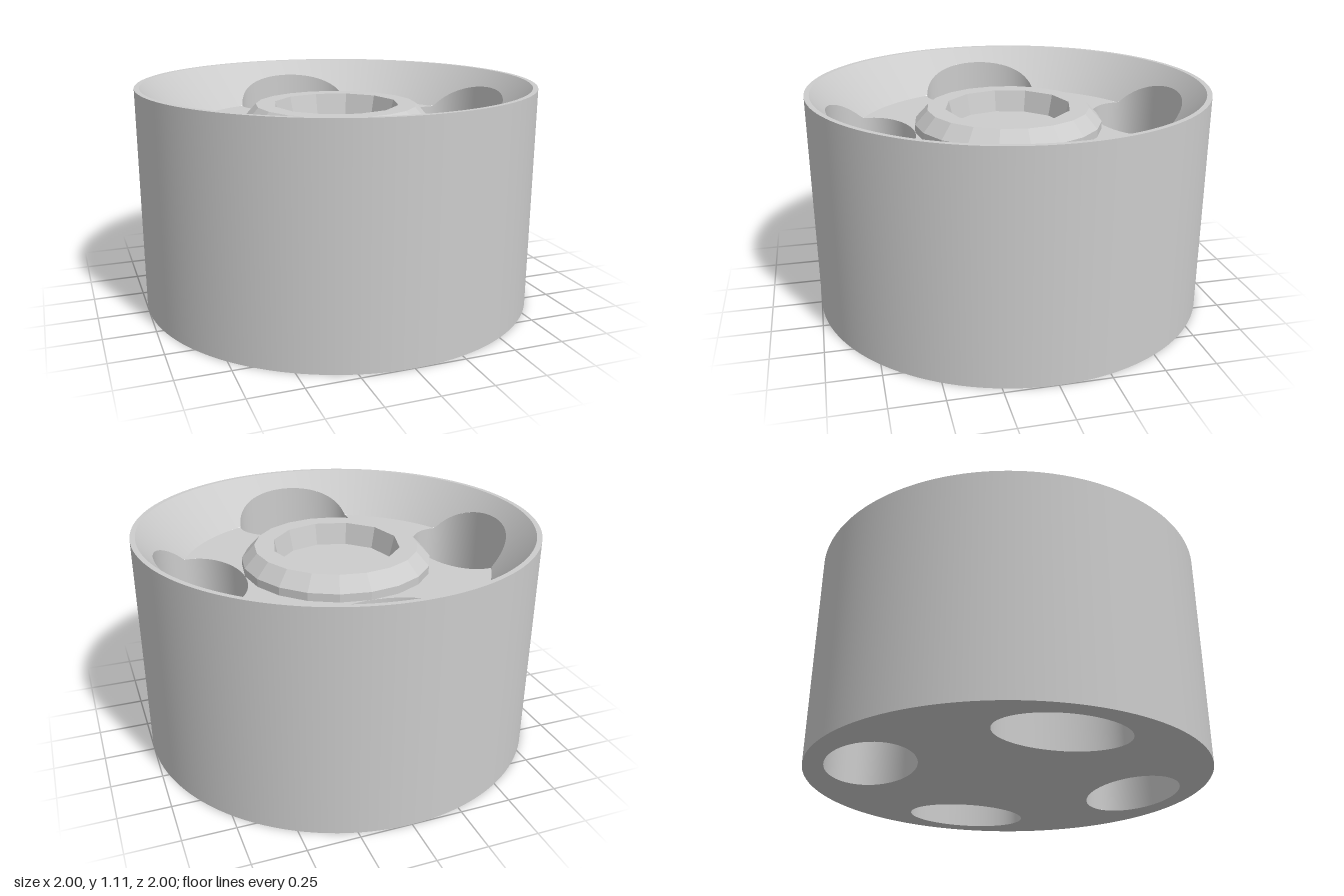
import * as THREE from 'three';

const HEIGHT = 1.11, FLOOR = 0.89;          // overall height, dish floor level
const R = 1, LIP = 0.975, DISH = 0.78;      // outer, lip and dish floor radii
const C = 0.69, A = 0.215, B = 0.32;        // oval holes: centre distance, half axes

const polar = (r, a, y) => [r * Math.cos(a), y, -r * Math.sin(a)];
const coneY = r => r <= DISH ? FLOOR : FLOOR + (r - DISH) / (LIP - DISH) * (HEIGHT - FLOOR);

// Closed inward-facing band; at(u) gives its lower and upper point
function band(n, at) {
  const pos = [], idx = [];
  for (let i = 0; i < n; i++) {
    const [lo, hi] = at(i / n * Math.PI * 2);
    pos.push(...lo, ...hi);
    const a = 2 * i, b = 2 * ((i + 1) % n);
    idx.push(a, b + 1, b, a, a + 1, b + 1);
  }
  const g = new THREE.BufferGeometry();
  g.setAttribute('position', new THREE.Float32BufferAttribute(pos, 3));
  g.setIndex(idx);
  g.computeVertexNormals();
  return g;
}

// Far crossing of a ray from the axis with the nearest oval hole, or the dish radius
function coneStart(angle) {
  const q = Math.PI / 2, t = angle - Math.round(angle / q) * q;
  const c = Math.cos(t), s = Math.sin(t);
  const a = c * c / (A * A) + s * s / (B * B), b = C * c / (A * A), d = C * C / (A * A) - 1;
  const disc = b * b - a * d;
  return disc < 0 ? DISH : Math.max(DISH, (b + Math.sqrt(disc)) / a);
}

// Dish floor outline: a disc with four bites taken by the holes
function floorShape() {
  const qa = A * A - B * B, qb = 2 * C * A, qc = C * C + B * B - DISH * DISH;
  const t0 = Math.acos((-qb + Math.sqrt(qb * qb - 4 * qa * qc)) / (2 * qa));
  const edge = Math.atan2(B * Math.sin(t0), C + A * Math.cos(t0));
  const pts = [], n = 48;
  for (let k = 0; k < 4; k++) {
    const turn = k * Math.PI / 2, origin = new THREE.Vector2();
    for (let i = 0; i <= n; i++) {
      const t = 2 * Math.PI - t0 - (2 * Math.PI - 2 * t0) * i / n;
      pts.push(new THREE.Vector2(C + A * Math.cos(t), B * Math.sin(t)).rotateAround(origin, turn));
    }
    for (let i = 1; i < 24; i++) {
      const a = turn + edge + (Math.PI / 2 - 2 * edge) * i / 24;
      pts.push(new THREE.Vector2(DISH * Math.cos(a), DISH * Math.sin(a)));
    }
  }
  return new THREE.Shape(pts);
}

function polygon(r, n, Type = THREE.Shape) {
  return new Type(Array.from({ length: n }, (_, i) => {
    const a = i / n * Math.PI * 2;
    return new THREE.Vector2(r * Math.cos(a), r * Math.sin(a));
  }));
}

// Faceted turned part
function facetedLathe(profile, sides) {
  const g = new THREE.LatheGeometry(profile.map(p => new THREE.Vector2(...p)), sides).toNonIndexed();
  g.computeVertexNormals();
  return g;
}

export function createModel() {
  const group = new THREE.Group();
  const grey = new THREE.MeshStandardMaterial({ color: 0xcccccc });
  grey.name = 'light grey';
  const add = (name, geometry, parent = group) => {
    const mesh = new THREE.Mesh(geometry, grey);
    mesh.name = name;
    parent.add(mesh);
    return mesh;
  };

  // Outer drum and its thin top lip
  add('outerWall', new THREE.CylinderGeometry(R, R, HEIGHT, 128, 1, true).translate(0, HEIGHT / 2, 0));
  add('topLip', new THREE.RingGeometry(LIP, R, 128).rotateX(-Math.PI / 2).translate(0, HEIGHT, 0));

  // Sloping dish, notched by the holes
  add('dishSlope', band(256, a => {
    const r = coneStart(a);
    return [polar(r, a, coneY(r)), polar(LIP, a, HEIGHT)];
  }));
  add('dishFloor', new THREE.ShapeGeometry(floorShape()).rotateX(-Math.PI / 2).translate(0, FLOOR, 0));

  // Underside with four oval openings
  const base = polygon(R, 128);
  for (let k = 0; k < 4; k++) {
    const a = k * Math.PI / 2, hole = new THREE.Path();
    hole.absellipse(C * Math.cos(a), C * Math.sin(a), A, B, 0, Math.PI * 2, true, a);
    base.holes.push(hole);
  }
  add('underside', new THREE.ShapeGeometry(base, 32).rotateX(Math.PI / 2));

  // Walls of the four through holes
  const wall = band(96, t => {
    const x = C + A * Math.cos(t), z = -B * Math.sin(t);
    return [[x, 0, z], [x, coneY(Math.hypot(x, z)), z]];
  });
  for (let k = 0; k < 4; k++) add('holeWall', wall).rotation.y = k * Math.PI / 2;

  // Faceted hub with a chamfered rim and a twelve-sided recess
  const hub = new THREE.Group();
  hub.name = 'hub';
  group.add(hub);
  add('hubSide', facetedLathe([[0.475, FLOOR], [0.475, 0.93], [0.41, 1]], 20), hub);
  const top = polygon(0.41, 20);
  top.holes.push(polygon(0.32, 12, THREE.Path));
  add('hubTop', new THREE.ShapeGeometry(top).rotateX(-Math.PI / 2).translate(0, 1, 0), hub);
  add('hubRecess', facetedLathe([[0.32, 1], [0.295, FLOOR]], 12), hub);

  return group;
}
